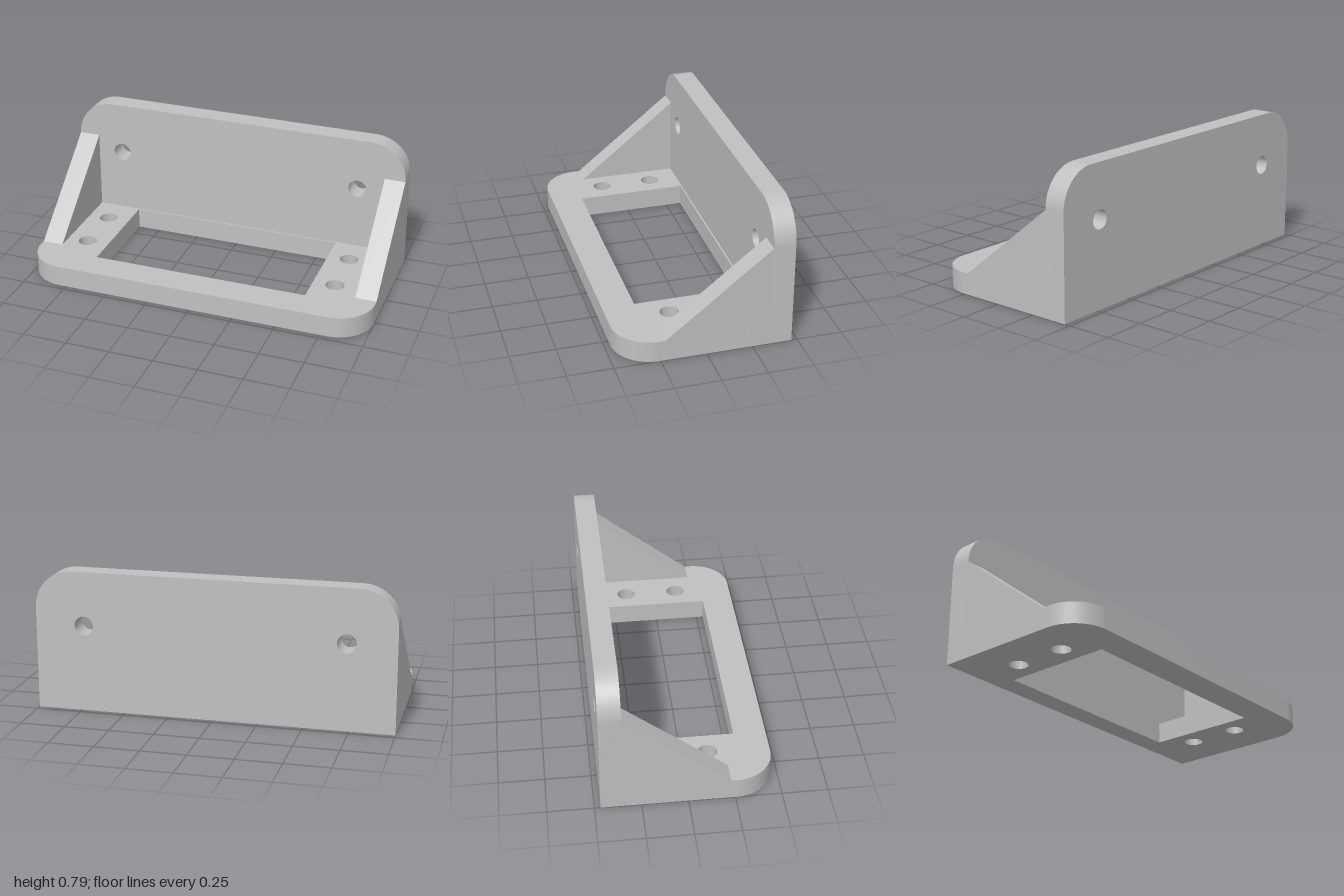
import * as THREE from 'three';
import { toCreasedNormals } from 'three/addons/utils/BufferGeometryUtils.js';

const T = 0.12; // wall thickness
const R = 0.21; // rounded corner radius
const BACK = -0.467, FRONT = 0.467, WALL = BACK + T;

// Plate outline from y0 (square corners) to y1 (rounded corners)
function plateShape(y0, y1) {
  const s = new THREE.Shape();
  s.moveTo(-1, y0);
  s.lineTo(1, y0);
  s.lineTo(1, y1 - R);
  s.absarc(1 - R, y1 - R, R, 0, Math.PI / 2, false);
  s.lineTo(-1 + R, y1);
  s.absarc(-1 + R, y1 - R, R, Math.PI / 2, Math.PI, false);
  s.closePath();
  return s;
}

function addHole(shape, x, y) {
  const p = new THREE.Path();
  p.absarc(x, y, 0.053, 0, Math.PI * 2, true);
  shape.holes.push(p);
}

function extrude(shape) {
  return new THREE.ExtrudeGeometry(shape, { depth: T, bevelEnabled: false, curveSegments: 20 });
}

export function createModel() {
  const group = new THREE.Group();
  const grey = new THREE.MeshStandardMaterial({ color: 0xc0c0c0 });
  grey.name = 'grey';

  function add(name, geometry) {
    const mesh = new THREE.Mesh(toCreasedNormals(geometry, 0.6), grey);
    mesh.name = name;
    group.add(mesh);
  }

  // Upright back plate with two screw holes
  const back = plateShape(0, 0.79);
  for (const x of [-0.73, 0.725]) addHole(back, x, 0.487);
  add('backPlate', extrude(back).translate(0, 0, BACK));

  // Base plate with window and four screw holes (shape y becomes z)
  const base = plateShape(WALL, FRONT);
  const win = new THREE.Path();
  win.moveTo(-0.63, -0.338);
  win.lineTo(-0.63, 0.29);
  win.lineTo(0.615, 0.29);
  win.lineTo(0.615, -0.338);
  win.closePath();
  base.holes.push(win);
  for (const x of [-0.76, 0.74]) for (const z of [-0.175, 0.13]) addHole(base, x, z);
  add('basePlate', extrude(base).rotateX(Math.PI / 2).translate(0, T, 0));

  // Triangular side gussets
  const tri = new THREE.Shape();
  tri.moveTo(WALL, T);
  tri.lineTo(0.224, T);
  tri.lineTo(WALL, 0.577);
  tri.closePath();
  for (const [name, x] of [['leftGusset', 1], ['rightGusset', -1 + T]]) {
    add(name, extrude(tri).rotateY(-Math.PI / 2).translate(x, 0, 0));
  }

  return group;
}
